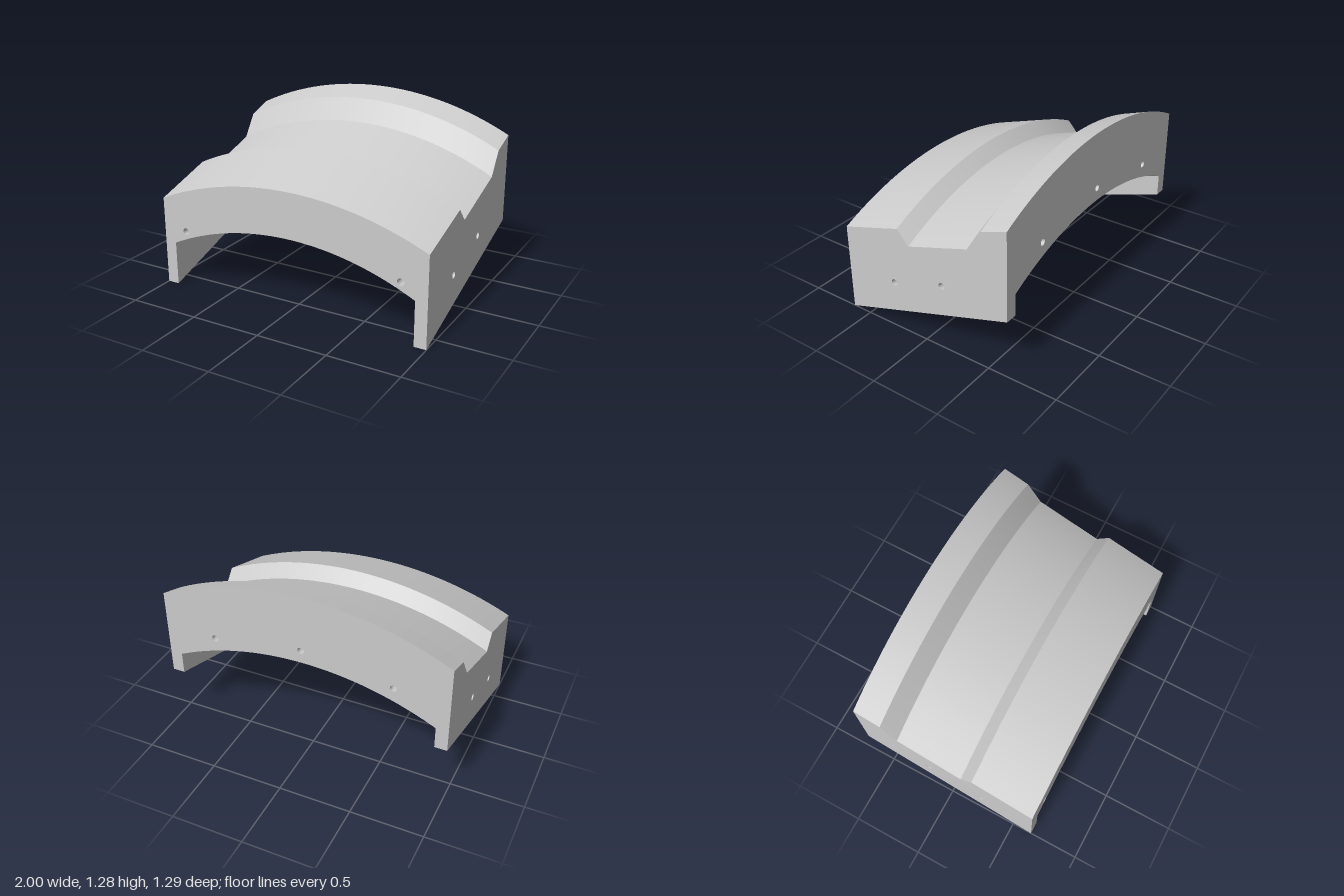
import * as THREE from 'three';

const FRONT = 0.645, BACK = -0.645, INNER = 0.915, LIP = -0.565, N = 48;
const slope = z => 0.3217 * (FRONT - z); // rise of the whole part toward the back

// Roof stations: z, height at the side edge, height at the crown
const ROOF = [
  [FRONT, 0.63, 0.847], [0.197, 0.767, 0.996], [0.11, 0.67, 0.91],
  [-0.355, 0.82, 1.066], [-0.46, 0.978, 1.214], [BACK, 1.04, 1.276],
];

// Circular arc across the part, from -w to +w
function arc(w, edge, crown, z) {
  const s = crown - edge, R = (w * w + s * s) / (2 * s);
  return Array.from({ length: N + 1 }, (_, i) => {
    const x = w * (2 * i / N - 1);
    return new THREE.Vector3(x, crown - R + Math.sqrt(R * R - x * x), z);
  });
}
const roofArc = r => arc(1, r[1], r[2], r[0]);
const underArc = z => arc(INNER, 0.312 + slope(z), 0.526 + slope(z), z);
const lipArc = z => arc(INNER, 0.155 + slope(z), 0.37 + slope(z), z);

// Ruled surface between two rows of points
function loft(a, b) {
  const pos = [], idx = [], n = a.length;
  for (const p of [...a, ...b]) pos.push(p.x, p.y, p.z);
  for (let i = 0; i < n - 1; i++) idx.push(i, i + 1, n + i, i + 1, n + i + 1, n + i);
  const g = new THREE.BufferGeometry();
  g.setAttribute('position', new THREE.Float32BufferAttribute(pos, 3));
  g.setIndex(idx);
  g.computeVertexNormals();
  return g;
}

// Flat sheet with round holes; holes are [u, v, radius], flip mirrors u
function sheet(points, holes, flip) {
  const shape = new THREE.Shape(points.map(([u, v]) => new THREE.Vector2(u * flip, v)));
  for (const [u, v, r] of holes) {
    shape.holes.push(new THREE.Path().absarc(u * flip, v, r, 0, Math.PI * 2, true));
  }
  return new THREE.ShapeGeometry(shape, 12);
}
const endFace = (pts, holes, z, dir) =>
  sheet(pts, holes, dir).rotateY(dir > 0 ? 0 : Math.PI).translate(0, 0, z);
const sideFace = (pts, holes, x, dir) =>
  sheet(pts, holes, -dir).rotateY(dir * Math.PI / 2).translate(x, 0, 0);
const flat = pts => pts.map(p => [p.x, p.y]);

export function createModel() {
  const group = new THREE.Group();
  const solid = new THREE.MeshStandardMaterial({ color: 0xcccccc });
  const thin = new THREE.MeshStandardMaterial({ color: 0xcccccc, side: THREE.DoubleSide });
  const add = (name, geometry, material = solid) => {
    const mesh = new THREE.Mesh(geometry, material);
    mesh.name = name;
    group.add(mesh);
  };

  // Stepped arched roof
  for (let i = 0; i < ROOF.length - 1; i++) {
    add('roofBand' + (i + 1), loft(roofArc(ROOF[i]), roofArc(ROOF[i + 1])));
  }

  // Arched underside and the lip hanging at the back
  add('archUnderside', loft(underArc(LIP), underArc(FRONT)));
  add('lipUnderside', loft(lipArc(BACK), lipArc(LIP)));

  // End faces
  const frontHoles = [-1, 1].map(s => [s * 0.818, 0.413, 0.025]);
  const backHoles = [[0, 0.877, 0.023], [-0.63, 0.785, 0.023], [0.63, 0.785, 0.023]];
  const outline = (roof, under, z) => [
    ...flat(roof), [1, slope(z)], [INNER, slope(z)],
    ...flat(under).reverse(), [-INNER, slope(z)], [-1, slope(z)],
  ];
  add('frontFace', endFace(outline(roofArc(ROOF[0]), underArc(FRONT), FRONT), frontHoles, FRONT, 1));
  add('backFace', endFace(outline(roofArc(ROOF[5]), lipArc(BACK), BACK), backHoles, BACK, -1));
  add('lipInnerFace', endFace([...flat(underArc(LIP)), ...flat(lipArc(LIP)).reverse()], backHoles, LIP, 1));

  // Side walls with countersunk through holes
  const sideHoles = [[0.25, 0.345], [-0.147, 0.473]];
  const outer = [[FRONT, 0], ...ROOF.map(r => [r[0], r[1]]), [BACK, slope(BACK)]];
  const inner = [
    [FRONT, 0], [FRONT, 0.312], [LIP, 0.312 + slope(LIP)], [LIP, 0.155 + slope(LIP)],
    [BACK, 0.155 + slope(BACK)], [BACK, slope(BACK)],
  ];
  const boreProfile = [[0.04, INNER], [0.024, 0.955], [0.024, 1]].map(p => new THREE.Vector2(...p));
  for (const s of [-1, 1]) {
    const side = s > 0 ? 'left' : 'right';
    add(side + 'OuterWall', sideFace(outer, sideHoles.map(h => [...h, 0.024]), s, s));
    add(side + 'InnerWall', sideFace(inner, sideHoles.map(h => [...h, 0.04]), s * INNER, -s));
    const foot = z => [INNER, 1].map(x => new THREE.Vector3(s * x, slope(z), z)).sort((a, b) => a.x - b.x);
    add(side + 'Foot', loft(foot(BACK), foot(FRONT)));
    for (const [z, y] of sideHoles) {
      add(side + 'WallBore',
        new THREE.LatheGeometry(boreProfile, 24).rotateZ(-s * Math.PI / 2).translate(0, y, z), thin);
    }
  }

  // Bores through the lip and blind bores in the front
  const bore = (x, y, r, z0, z1) =>
    new THREE.CylinderGeometry(r, r, z1 - z0, 24, 1, true).rotateX(Math.PI / 2).translate(x, y, (z0 + z1) / 2);
  for (const [x, y, r] of backHoles) add('lipBore', bore(x, y, r, BACK, LIP), thin);
  for (const [x, y, r] of frontHoles) {
    add('frontBore', bore(x, y, r, FRONT - 0.06, FRONT), thin);
    add('frontBoreEnd', new THREE.CircleGeometry(r, 24).translate(x, y, FRONT - 0.06));
  }
  return group;
}
